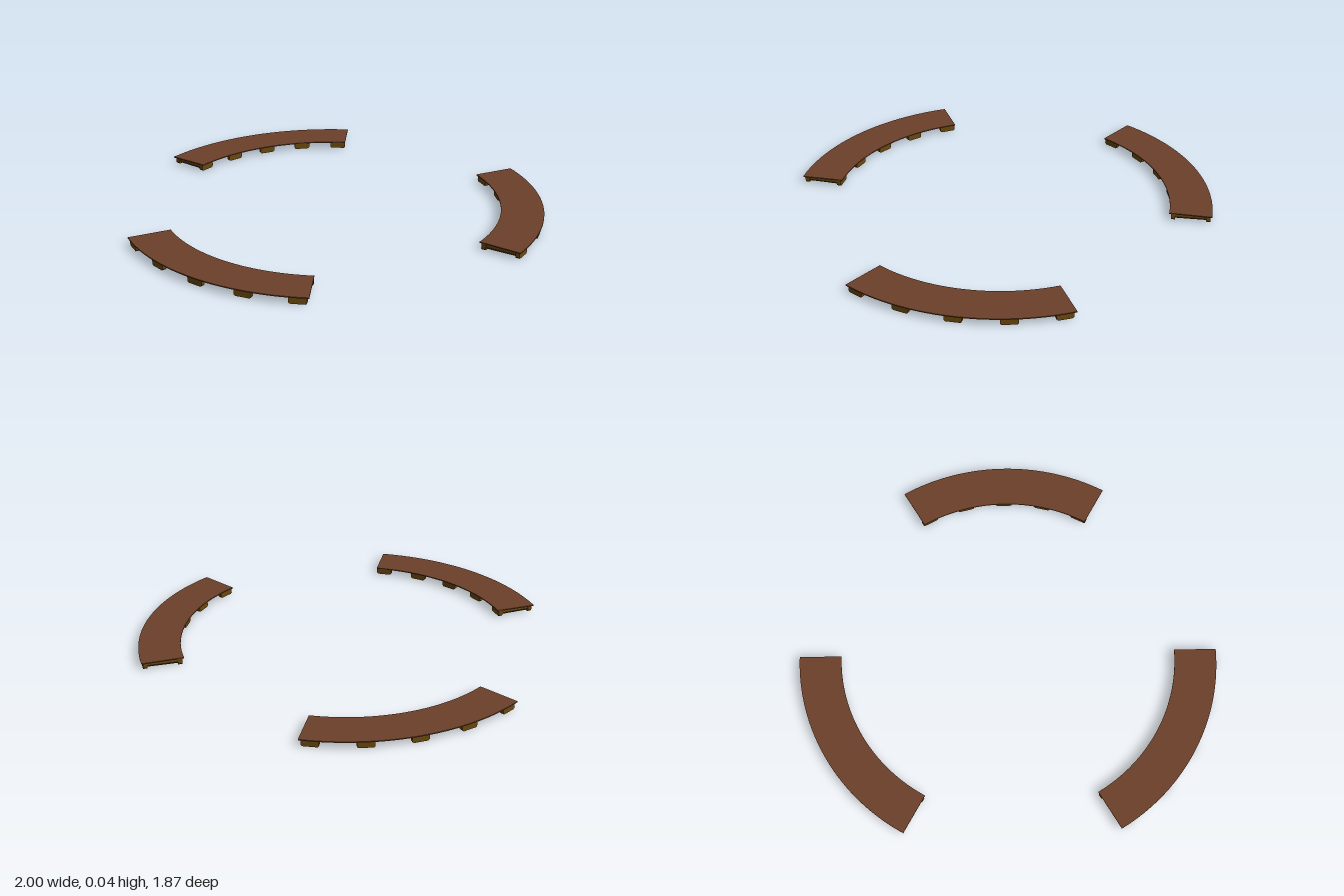
import * as THREE from 'three';

const TOP = 0.036, DECK = 0.005, CENTER_Z = 0.067;
const INNER = 0.8, OUTER = 1.0, SPAN = Math.PI / 3;
const wood = new THREE.MeshStandardMaterial({ color: 0x6b4029 });
const timber = new THREE.MeshStandardMaterial({ color: 0x6b480c });

// Thin curved deck, 60 degrees of a ring
function deckGeometry() {
  const s = new THREE.Shape();
  s.absarc(0, 0, OUTER, 0, SPAN, false);
  s.absarc(0, 0, INNER, SPAN, 0, true);
  s.closePath();
  return new THREE.ExtrudeGeometry(s, { depth: DECK, bevelEnabled: false, curveSegments: 32 })
    .rotateX(Math.PI / 2).translate(0, TOP, 0);
}

// Bar along x with a chamfered underside
function barGeometry(x0, x1, halfWidth, bottom, chamfer) {
  const top = TOP - DECK, w = halfWidth;
  const s = new THREE.Shape([
    [-w, top], [-w, bottom + chamfer], [-w + chamfer, bottom],
    [w - chamfer, bottom], [w, bottom + chamfer], [w, top],
  ].map(([x, y]) => new THREE.Vector2(x, y)));
  return new THREE.ExtrudeGeometry(s, { depth: x1 - x0, bevelEnabled: false })
    .rotateY(Math.PI / 2).translate(x0, 0, 0);
}

export function createModel() {
  const model = new THREE.Group();
  model.name = 'curvedWalkways';
  const deck = deckGeometry();
  const beam = barGeometry(0.82, 0.98, 0.034, 0.003, 0.012);
  const innerCap = barGeometry(0.808, 0.828, 0.039, 0, 0.006);
  const outerCap = barGeometry(0.972, 0.992, 0.039, 0, 0.006);

  // Three arcs, evenly spaced around the ring
  for (let i = 0; i < 3; i++) {
    const arc = new THREE.Group();
    arc.name = 'walkway' + (i + 1);
    arc.position.z = CENTER_Z;
    arc.rotation.y = -i * 2 * SPAN;
    const board = new THREE.Mesh(deck, wood);
    board.name = 'deck';
    arc.add(board);

    // Five radial sleepers under each deck
    for (let k = 0; k < 5; k++) {
      const sleeper = new THREE.Group();
      sleeper.name = 'sleeper' + (k + 1);
      sleeper.rotation.y = -THREE.MathUtils.degToRad(2.8 + 13.6 * k);
      for (const [name, geo] of [['beam', beam], ['innerEndCap', innerCap], ['outerEndCap', outerCap]]) {
        const part = new THREE.Mesh(geo, timber);
        part.name = name;
        sleeper.add(part);
      }
      arc.add(sleeper);
    }
    model.add(arc);
  }
  return model;
}
